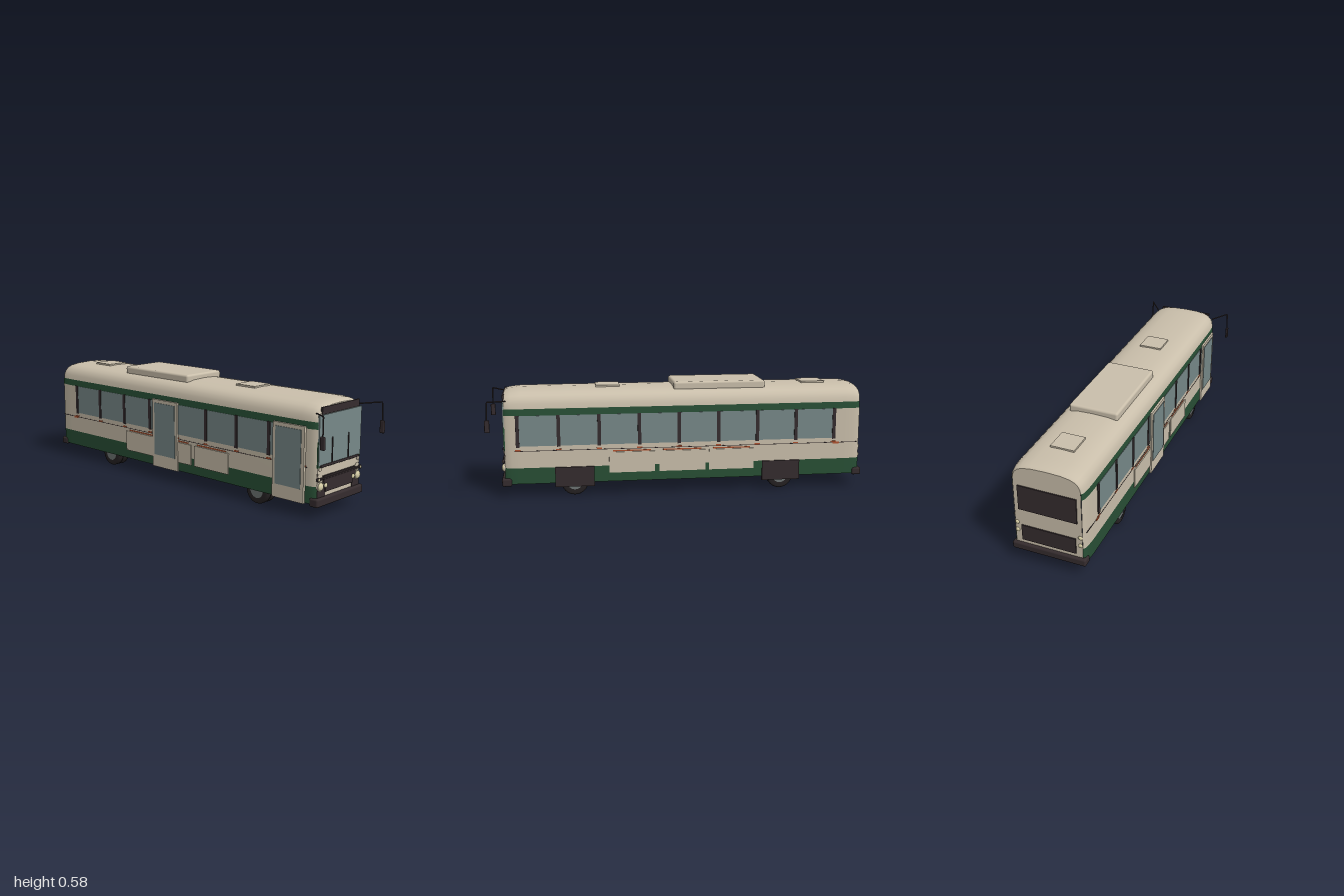
import * as THREE from 'three';
import { RoundedBoxGeometry } from 'three/addons/geometries/RoundedBoxGeometry.js';

const mat = (name, color) => Object.assign(new THREE.MeshStandardMaterial({ color }), { name });

export function createModel() {
  const cream = mat('cream paint', 0xcabfab), green = mat('green paint', 0x284f35);
  const dark = mat('dark trim', 0x352c2e), glass = mat('glass', 0x778888);
  const rubber = mat('rubber', 0x262223), red = mat('orange trim', 0xb0522f);
  const lamp = mat('lamp', 0xd6cda6), steel = mat('steel', 0x6d7473);

  const bus = new THREE.Group();
  bus.name = 'bus';
  const add = (name, geo, m, x = 0, y = 0, z = 0) => {
    const mesh = new THREE.Mesh(geo, m);
    mesh.name = name;
    mesh.position.set(x, y, z);
    bus.add(mesh);
    return mesh;
  };
  // Box given by its limits; r rounds the edges
  const box = (name, m, x0, x1, y0, y1, z0, z1, r = 0) => {
    const s = [x1 - x0, y1 - y0, z1 - z0];
    const geo = r ? new RoundedBoxGeometry(...s, 3, r) : new THREE.BoxGeometry(...s);
    return add(name, geo, m, (x0 + x1) / 2, (y0 + y1) / 2, (z0 + z1) / 2);
  };

  // Body stations along z: [z, side inset, roof drop]
  const stations = [[-0.985, 0.016, 0.016], [-0.975, 0.008, 0.008], [-0.95, 0.003, 0.003], [-0.9, 0, 0],
    [0.82, 0, 0], [0.87, 0.004, 0.004], [0.895, 0.009, 0.009], [0.908, 0.018, 0.016]];
  const place = ([x, y], [, inset, drop]) =>
    [x * (1 - inset / 0.19), y - drop * Math.max(0, (y - 0.46) / 0.09)];
  const strip = (name, m, profile) => {
    const pos = [], idx = [], n = profile.length;
    stations.forEach((s, j) => profile.forEach((p, i) => {
      pos.push(...place(p, s), s[0]);
      if (j && i) {
        const a = (j - 1) * n + i - 1, d = j * n + i - 1;
        idx.push(a, a + 1, d + 1, a, d + 1, d);
      }
    }));
    const geo = new THREE.BufferGeometry();
    geo.setAttribute('position', new THREE.Float32BufferAttribute(pos, 3));
    geo.setIndex(idx);
    geo.computeVertexNormals();
    add(name, geo, m);
  };
  const mirrored = (p) => p.map(([x, y]) => [-x, y]).reverse();
  const bands = [
    ['skirt', green, [[0.19, 0.07], [0.19, 0.155]]],
    ['sidePanel', cream, [[0.19, 0.155], [0.19, 0.43]]],
    ['upperStripe', green, [[0.19, 0.43], [0.188, 0.465]]],
  ];
  for (const [name, m, p] of bands) {
    strip(name, m, p);
    strip(name, m, mirrored(p));
  }
  const half = [[0.188, 0.465], [0.184, 0.49], [0.174, 0.512], [0.157, 0.53], [0.13, 0.543], [0.08, 0.552], [0, 0.555]];
  const roof = [...half, ...mirrored(half).slice(1)];
  strip('roof', cream, roof);
  strip('floor', green, [[-0.19, 0.07], [0.19, 0.07]]);

  // Front and rear walls
  const wall = (station) => new THREE.ShapeGeometry(new THREE.Shape(
    [[-0.19, 0.07], [0.19, 0.07], ...roof].map((p) => new THREE.Vector2(...place(p, station)))));
  add('frontWall', wall(stations[7]), cream, 0, 0, 0.908);
  add('rearWall', wall(stations[0]), cream, 0, 0, -0.985).rotation.y = Math.PI;

  // Front face
  box('windshieldSurround', green, -0.174, 0.174, 0.245, 0.37, 0.905, 0.911);
  box('windshield', glass, -0.171, 0.171, 0.256, 0.496, 0.906, 0.914);
  box('destinationSign', dark, -0.15, 0.15, 0.498, 0.533, 0.904, 0.913);
  box('windshieldSill', dark, -0.158, 0.158, 0.245, 0.258, 0.9, 0.919, 0.004);
  for (const x of [-0.067, 0.065]) box('wiper', dark, x - 0.0025, x + 0.0025, 0.258, 0.382, 0.913, 0.918);
  box('upperGrille', dark, -0.13, 0.13, 0.165, 0.202, 0.9, 0.918);
  box('lowerGrille', dark, -0.115, 0.115, 0.122, 0.166, 0.9, 0.916);
  box('grilleBar', dark, -0.17, 0.17, 0.186, 0.195, 0.905, 0.921, 0.003);
  box('frontBumper', dark, -0.19, 0.19, 0.057, 0.1, 0.875, 0.926, 0.01);
  box('rearBumper', dark, -0.192, 0.192, 0.06, 0.1, -1, -0.95, 0.01);

  // Rear face
  box('rearWindow', dark, -0.15, 0.15, 0.295, 0.43, -0.991, -0.984);
  box('rearGrille', dark, -0.14, 0.14, 0.12, 0.205, -0.991, -0.984);

  const ball = (name, m, r, x, y, z) => add(name, new THREE.SphereGeometry(r, 20, 12), m, x, y, z).scale.z = 0.6;
  const disc = (name, m, r, d, x, y, z) =>
    add(name, new THREE.CylinderGeometry(r, r, d, 24).rotateX(Math.PI / 2), m, x, y, z);
  for (const s of [-1, 1]) {
    const [a, b] = [s * 0.11, s * 0.172].sort((p, q) => p - q);
    box('frontLowerPanel', dark, a, b, 0.1, 0.155, 0.904, 0.911);
    // Lamps
    disc('headlightRim', cream, 0.023, 0.008, s * 0.153, 0.153, 0.911);
    ball('headlight', lamp, 0.02, s * 0.153, 0.153, 0.914);
    ball('innerHeadlight', lamp, 0.012, s * 0.113, 0.154, 0.916);
    disc('markerRim', dark, 0.01, 0.01, s * 0.172, 0.19, 0.914);
    ball('markerLamp', lamp, 0.007, s * 0.172, 0.19, 0.919);
    disc('frontCover', cream, 0.019, 0.003, s * 0.155, 0.195, 0.9085);
    disc('frontCover', cream, 0.011, 0.003, s * 0.155, 0.238, 0.912);
    for (const y of [0.17, 0.215]) ball('rearLamp', lamp, 0.011, s * 0.163, y, -0.986);

    // Mirror on a bent arm
    const pts = [[0.172, 0.505, 0.895], [0.243, 0.514, 0.985], [0.246, 0.42, 0.987]]
      .map(([x, y, z]) => new THREE.Vector3(s * x, y, z));
    const arm = new THREE.CurvePath();
    arm.add(new THREE.LineCurve3(pts[0], pts[1]));
    arm.add(new THREE.LineCurve3(pts[1], pts[2]));
    add('mirrorArm', new THREE.TubeGeometry(arm, 24, 0.0035, 8), dark);
    add('mirror', new RoundedBoxGeometry(0.012, 0.064, 0.026, 3, 0.005), dark, s * 0.246, 0.39, 0.987);

    // Box on a side, from distance d0 to d1 from the centre
    const side = (name, m, d0, d1, ...rest) =>
      box(name, m, s > 0 ? d0 : -d1, s > 0 ? d1 : -d0, ...rest);
    side('sideGlass', glass, 0.186, 0.192, 0.27, 0.43, -0.84, 0.84);
    side('beltLine', dark, 0.188, 0.191, 0.243, 0.246, -0.97, 0.86);
    for (let i = 0; i < 9; i++) {
      const z = -0.84 + i * 0.21;
      side('windowPost', dark, 0.186, 0.195, 0.265, 0.432, z - 0.009, z + 0.009);
      side('beltTrim', red, 0.188, 0.192, 0.246, 0.253, z - 0.014, z + 0.014);
    }
    side('sideMarker', red, 0.188, 0.193, 0.238, 0.249, -0.87, -0.835);
    for (const [z0, z1] of [[0.13, 0.37], [-0.14, 0.105], [-0.4, -0.16]]) {
      side('luggageHatch', cream, 0.186, 0.196, 0.118, 0.228, z0, z1);
      side('hatchTrim', red, 0.188, 0.192, 0.231, 0.237, z0 + 0.02, z1 - 0.02);
    }

    // Twin wheels
    for (const z of [0.55, -0.55]) {
      for (const x of [0.125, 0.164]) {
        const t = [[0.04, -0.018], [0.06, -0.019], [0.068, -0.014], [0.07, -0.008], [0.07, 0.008],
          [0.068, 0.014], [0.06, 0.019], [0.04, 0.018]].map((p) => new THREE.Vector2(...p));
        add('tyre', new THREE.LatheGeometry(t, 32).rotateZ(Math.PI / 2), rubber, s * x, 0.07, z);
        add('hub', new THREE.CylinderGeometry(0.042, 0.042, 0.032, 24).rotateZ(Math.PI / 2), steel, s * x, 0.07, z);
      }
      if (s > 0) box('wheelCover', dark, 0.18, 0.198, 0.05, 0.155, z - 0.102, z + 0.102);
    }
  }

  // Passenger doors on the right
  for (const [z0, z1] of [[-0.18, 0.01], [0.66, 0.85]]) {
    box('door', cream, -0.2, -0.185, 0.067, 0.44, z0, z1);
    box('doorGlass', glass, -0.203, -0.198, 0.135, 0.422, z0 + 0.018, z1 - 0.018);
  }

  // Roof equipment
  box('airConditioner', cream, -0.13, 0.13, 0.535, 0.582, -0.47, 0.02, 0.012);
  for (const z of [0.365, -0.75]) box('roofHatch', cream, -0.061, 0.061, 0.54, 0.562, z - 0.063, z + 0.063);

  return bus;
}
